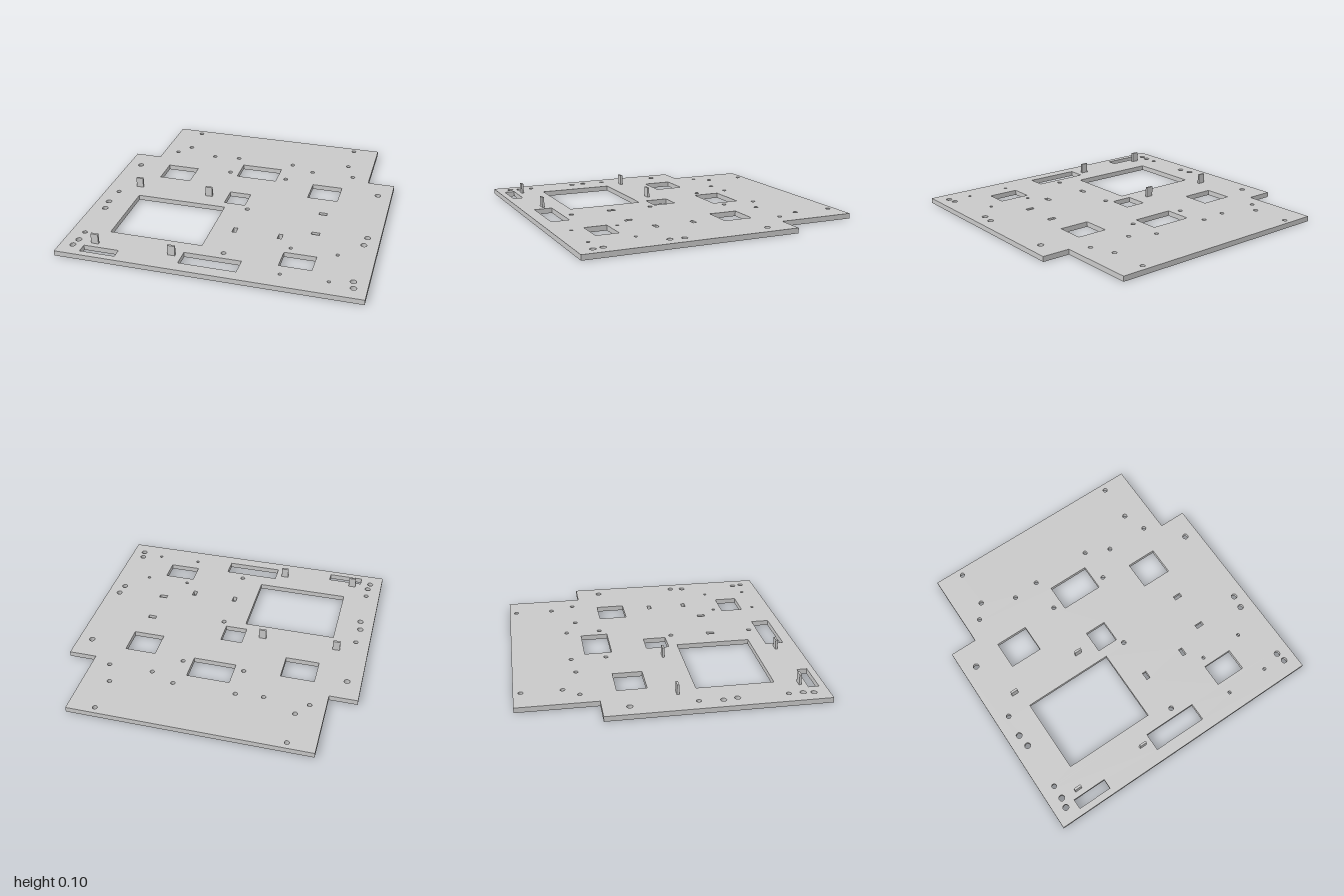
import * as THREE from 'three';

const THICK = 0.035;

export function createModel() {
  const group = new THREE.Group();
  const grey = new THREE.MeshStandardMaterial({ color: 0xc8c8c8 });
  grey.name = 'plain grey';

  // Plate outline, counter-clockwise, drawn with shape y as model z
  const outline = [
    [-1, -0.455], [-0.81, -0.455], [-0.81, -0.988], [0.81, -0.988],
    [0.81, -0.455], [1, -0.455], [1, 0.988], [-1, 0.988],
  ];
  const shape = new THREE.Shape(outline.map(([x, z]) => new THREE.Vector2(x, z)));

  // Holes run clockwise so that their walls face into the opening
  const rectHole = (x0, x1, z0, z1) => {
    const pts = [[x0, z0], [x0, z1], [x1, z1], [x1, z0]];
    shape.holes.push(new THREE.Path(pts.map(([x, z]) => new THREE.Vector2(x, z))));
  };
  const roundHole = (x, z, r) => {
    shape.holes.push(new THREE.Path().absarc(x, z, r, 0, Math.PI * 2, true));
  };
  const holeGrid = (xs, zs, r) => xs.forEach((x) => zs.forEach((z) => roundHole(x, z, r)));

  // Rectangular windows
  rectHole(-0.147, 0.147, -0.49, -0.304);
  rectHole(-0.692, -0.463, -0.339, -0.142);
  rectHole(0.425, 0.638, -0.323, -0.126);
  rectHole(-0.126, 0.024, -0.057, 0.1);
  rectHole(-0.741, -0.105, 0.163, 0.676);
  rectHole(0.425, 0.638, 0.613, 0.768);
  rectHole(-0.19, 0.19, 0.784, 0.907);
  rectHole(-0.842, -0.602, 0.875, 0.944);

  // Small cable slots
  for (const z of [0.074, 0.339]) rectHole(0.548, 0.603, z - 0.014, z + 0.014);
  for (const x of [0.048, 0.358]) rectHole(x - 0.014, x + 0.014, 0.409, 0.463);

  // Screw holes
  holeGrid([-0.627, 0.627], [-0.939, -0.675], 0.016);
  holeGrid([-0.703, -0.4], [-0.572], 0.015);
  holeGrid([0.382, 0.687], [-0.512], 0.015);
  holeGrid([-0.213, 0.213], [-0.588, -0.352], 0.015);
  holeGrid([-0.904, 0.055], [0.148, 0.725], 0.016);
  holeGrid([0.456, 0.761], [0.554, 0.859], 0.011);
  holeGrid([-0.904, 0.904], [-0.284, 0.394, 0.819], 0.02);
  holeGrid([-0.915, 0.915], [0.302, 0.886], 0.02);

  const plateGeo = new THREE.ExtrudeGeometry(shape, {
    depth: THICK, bevelEnabled: false, curveSegments: 10,
  });
  plateGeo.rotateX(Math.PI / 2).translate(0, THICK, 0);
  const plate = new THREE.Mesh(plateGeo, grey);
  plate.name = 'basePlate';
  group.add(plate);

  // Upright locating tabs around the large window
  const tabGeo = new THREE.BoxGeometry(0.05, 0.07, 0.015);
  for (const x of [-0.782, -0.258]) {
    for (const z of [0.035, 0.831]) {
      const tab = new THREE.Mesh(tabGeo, grey);
      tab.name = 'locatingTab';
      tab.position.set(x, THICK + 0.035, z);
      group.add(tab);
    }
  }
  return group;
}
